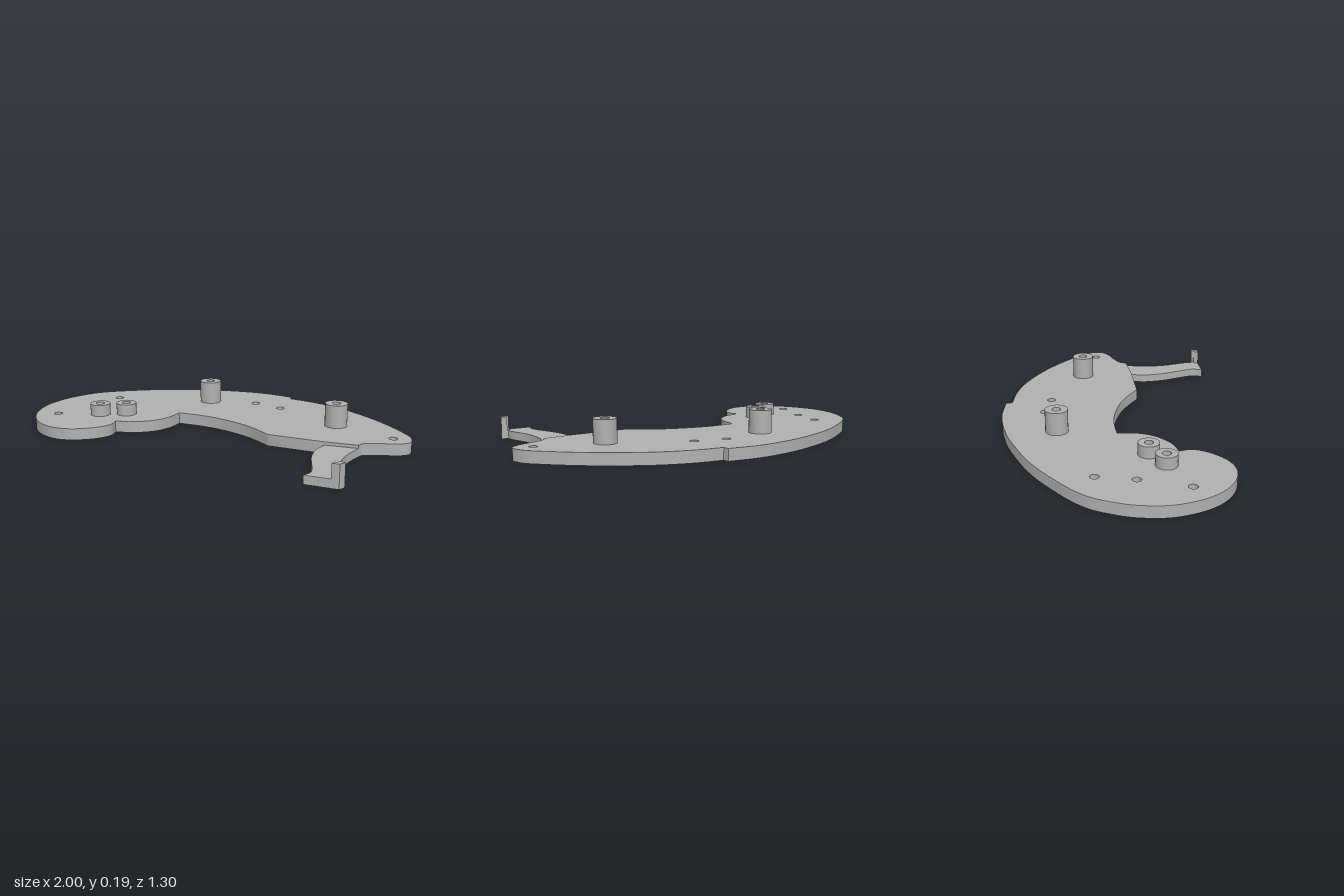
import * as THREE from 'three';
import { toCreasedNormals } from 'three/addons/utils/BufferGeometryUtils.js';

const PLATE = 0.062, HOLE = 0.023;

// Closed shape from runs of [x, z] points; each run is one smooth curve, with corners between runs
function outline(runs) {
  const shape = new THREE.Shape();
  const [startX, startZ] = runs[0][0];
  shape.moveTo(startX, -startZ);
  runs.forEach((run, i) => {
    const pts = (i ? run : run.slice(1)).map(([x, z]) => new THREE.Vector2(x, -z));
    if (pts.length > 1) shape.splineThru(pts);
    else if (pts.length === 1) shape.lineTo(pts[0].x, pts[0].y);
  });
  return shape;
}

function circle(Type, x, z, r) {
  const path = new Type();
  path.absarc(x, -z, r, 0, Math.PI * 2, false);
  return path;
}

// Extrude a plan shape upward from y0 to y1
function slab(name, shape, y0, y1, material) {
  let geo = new THREE.ExtrudeGeometry(shape, { depth: y1 - y0, bevelEnabled: false, curveSegments: 12 });
  geo.rotateX(-Math.PI / 2);
  geo.translate(0, y0, 0);
  geo = toCreasedNormals(geo, 0.6);
  const mesh = new THREE.Mesh(geo, material);
  mesh.name = name;
  return mesh;
}

export function createModel() {
  const group = new THREE.Group();
  group.name = 'curvedMountingPlate';
  const grey = new THREE.MeshStandardMaterial({ color: 0xb0b0b0 });
  grey.name = 'grey';

  // Bosses: x, z, radius, top
  const bosses = [
    [-0.285, -0.287, 0.06, 0.185], [0.555, -0.302, 0.06, 0.185],
    [-0.49, 0.215, 0.055, 0.125], [-0.597, 0.312, 0.055, 0.125],
  ];
  const holes = [
    [-0.043, -0.407], [0.13, -0.407], [0.902, -0.28],
    [-0.763, -0.008], [-0.763, 0.19], [-0.795, 0.45],
  ];

  // Plate with a stepped back edge and a two-lobed end
  const plate = outline([
    [[0.05, -0.65], [-0.13, -0.625], [-0.3, -0.565], [-0.45, -0.487], [-0.665, -0.337], [-0.85, -0.15],
      [-0.945, -0.02], [-0.985, 0.1], [-1, 0.23], [-0.975, 0.38], [-0.89, 0.525], [-0.775, 0.615],
      [-0.64, 0.649], [-0.525, 0.615], [-0.44, 0.525], [-0.408, 0.43], [-0.435, 0.36]],
    [[-0.345, 0.31], [-0.275, 0.22], [-0.253, 0.125], [-0.265, 0.025]],
    [[-0.13, -0.01], [0, -0.022], [0.16, -0.01], [0.27, 0.02], [0.36, 0.053]],
    [[0.655, -0.02]],
    [[0.815, -0.075]],
    [[0.825, -0.115], [0.88, -0.16], [0.965, -0.215], [1, -0.275], [0.965, -0.35], [0.885, -0.41],
      [0.75, -0.487], [0.595, -0.555], [0.4, -0.612], [0.22, -0.63], [0.06, -0.617]],
    [[0.05, -0.65]],
  ]);
  for (const [x, z] of [...holes, ...bosses]) plate.holes.push(circle(THREE.Path, x, z, HOLE));
  group.add(slab('plate', plate, 0, PLATE, grey));

  // Hollow bosses
  for (const [x, z, r, top] of bosses) {
    const ring = circle(THREE.Shape, x, z, r);
    ring.holes.push(circle(THREE.Path, x, z, HOLE));
    group.add(slab('boss', ring, PLATE, top, grey));
  }

  // Thin curved arm
  const arm = outline([
    [[0.655, -0.02], [0.657, 0.07], [0.7, 0.18], [0.78, 0.305], [0.806, 0.36], [0.8, 0.412]],
    [[0.962, 0.37]],
    [[0.97, 0.333]],
    [[0.932, 0.335]],
    [[0.915, 0.285], [0.853, 0.17], [0.82, 0.055], [0.815, -0.075]],
  ]);
  group.add(slab('arm', arm, 0, 0.045, grey));

  // Upright post at the arm tip
  const post = outline([[[0.925, 0.38]], [[0.962, 0.37]], [[0.97, 0.333]], [[0.938, 0.335]], [[0.938, 0.35]], [[0.928, 0.352]]]);
  group.add(slab('armPost', post, 0.045, 0.12, grey));

  return group;
}
